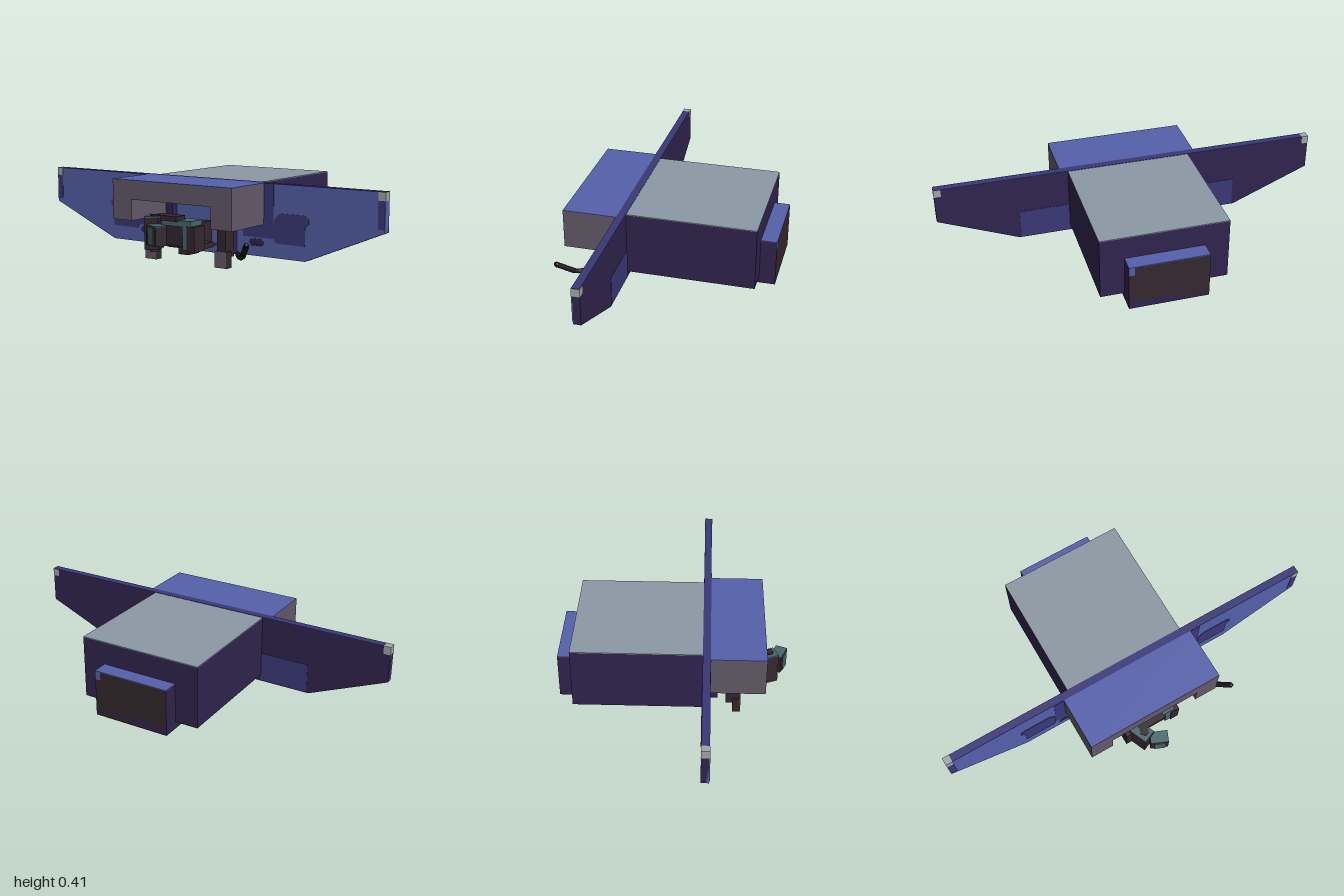
import * as THREE from 'three';

const mat = (name, color) => {
  const m = new THREE.MeshStandardMaterial({ color });
  m.name = name;
  return m;
};

export function createModel() {
  const root = new THREE.Group();
  const blue = mat('blue paint', 0x5560aa);
  const navy = mat('navy paint', 0x3a3878);
  const purple = mat('dark purple', 0x30244e);
  const grey = mat('roof grey', 0x8c98a4);
  const taupe = mat('taupe metal', 0x625a68);
  const brown = mat('dark brown iron', 0x33272d);
  const teal = mat('teal iron', 0x4a666e);
  const pale = mat('pale marker', 0xa0a8a6);
  const black = mat('black rubber', 0x1d171d);

  const add = (name, geo, material, parent = root) => {
    const m = new THREE.Mesh(geo, material);
    m.name = name;
    parent.add(m);
    return m;
  };
  // Box given by its minimum and maximum on each axis
  const box = (name, material, x0, x1, y0, y1, z0, z1, parent = root) => {
    const m = add(name, new THREE.BoxGeometry(x1 - x0, y1 - y0, z1 - z0), material, parent);
    m.position.set((x0 + x1) / 2, (y0 + y1) / 2, (z0 + z1) / 2);
    return m;
  };
  const shape = (pts) => new THREE.Shape(pts.map((p) => new THREE.Vector2(...p)));
  const slab = (name, material, pts, z0, z1) => {
    const geo = new THREE.ExtrudeGeometry(shape(pts), { depth: z1 - z0, bevelEnabled: false });
    const m = add(name, geo, material);
    m.position.z = z0;
    return m;
  };

  // Main body with a lighter roof
  box('body', purple, -0.32, 0.32, 0.083, 0.4, -0.495, 0.15);
  box('bodyRoof', grey, -0.32, 0.32, 0.4, 0.404, -0.495, 0.147);

  // Floor beam and rear box
  box('floorBeam', purple, -0.2, 0.2, 0.05, 0.085, -0.575, 0.225);
  box('floorUnderside', black, -0.2, 0.2, 0.047, 0.05, -0.575, 0.225);
  box('floorBeamFront', blue, -0.16, 0.16, 0.05, 0.085, 0.225, 0.227);
  box('rearBox', purple, -0.2, 0.2, 0.05, 0.282, -0.573, -0.49);
  box('rearBoxTop', blue, -0.2, 0.2, 0.282, 0.286, -0.575, -0.495);
  box('rearBoxPanel', brown, -0.2, 0.17, 0.05, 0.282, -0.575, -0.573);
  box('rearBoxPanelEdge', brown, 0.17, 0.2, 0.05, 0.24, -0.575, -0.573);
  box('rearBoxMark', blue, 0.17, 0.2, 0.24, 0.282, -0.575, -0.573);

  // Wide tapering end plate
  const outline = [[-1, 0.22], [-0.59, 0.048], [0.59, 0.048], [1, 0.22], [1, 0.403], [-1, 0.403]];
  slab('endPlate', purple, outline, 0.147, 0.182);
  slab('endPlateFace', blue, outline, 0.182, 0.185);
  box('endPlateTop', navy, -0.965, 1, 0.403, 0.406, 0.147, 0.185);

  for (const s of [-1, 1]) {
    const pair = (name, material, xa, xb, ...rest) =>
      box(name, material, Math.min(s * xa, s * xb), Math.max(s * xa, s * xb), ...rest);
    // Plate ends and corner markers
    pair('plateEnd', blue, 0.999, 1.0, 0.221, 0.365, 0.148, 0.185);
    pair('plateEndStripe', navy, 0.965, 1, 0.235, 0.365, 0.185, 0.187);
    pair('cornerMarker', pale, 0.965, 1.001, 0.365, s < 0 ? 0.406 : 0.404, 0.146, 0.187);
    // Painted details on the front
    pair('plateStripe', navy, 0.36, 0.415, 0.205, 0.404, 0.185, 0.187);
    pair('plateStripeLower', navy, 0.24, 0.48, 0.14, 0.205, 0.185, 0.186);
    const hatch = shape([[0.43, 0.12], [0.59, 0.12], [0.59, 0.215], [0.61, 0.225], [0.61, 0.25],
      [0.59, 0.266], [0.45, 0.266], [0.42, 0.235], [0.42, 0.135]].map(([x, y]) => [s * x, y]));
    add('platePanel', new THREE.ExtrudeGeometry(hatch, { depth: 0.003, bevelEnabled: false }), navy)
      .position.z = 0.185;
    const slot = add('plateSlot', new THREE.CapsuleGeometry(0.017, 0.05 + (s < 0 ? 0.03 : 0), 4, 10), purple);
    slot.rotation.z = Math.PI / 2;
    slot.scale.z = 0.15;
    slot.position.set(s < 0 ? -0.345 : 0.32, 0.115, 0.187);
    // Painted panel on the back
    pair('rearPlatePanel', navy, 0.32, 0.58, 0.052, 0.205, 0.145, 0.147);
    // Posts and feet beside the coupler
    pair('post', purple, 0.167, 0.203, 0.05, 0.29, 0.185, 0.225);
    pair('footHanger', brown, 0.19, 0.24, 0.05, 0.205, 0.265, 0.335);
    pair('foot', brown, 0.18, 0.25, 0, 0.08, 0.3, 0.336);
    pair('footFace', taupe, 0.18, 0.25, 0, 0.08, 0.336, 0.34);
  }

  // Hood over the coupler, open below
  slab('hood', taupe, [[-0.36, 0.205], [-0.24, 0.205], [-0.24, 0.31], [0.24, 0.31], [0.24, 0.205],
    [0.36, 0.205], [0.36, 0.402], [-0.36, 0.402]], 0.185, 0.455);
  box('hoodTop', blue, -0.36, 0.36, 0.402, 0.406, 0.185, 0.455);

  // Coupler: shank, carrier, jaws and pivot
  const coupler = new THREE.Group();
  coupler.name = 'coupler';
  root.add(coupler);
  box('shank', brown, -0.06, 0.06, 0.1, 0.2, 0.2, 0.42, coupler);
  box('carrier', brown, -0.13, 0.12, 0.083, 0.11, 0.265, 0.37, coupler);
  box('carrierDrop', brown, -0.03, 0.03, 0.045, 0.085, 0.265, 0.35, coupler);
  box('headBack', teal, -0.11, 0.11, 0.115, 0.205, 0.34, 0.385, coupler);
  box('headTopStrap', brown, -0.09, 0.05, 0.225, 0.25, 0.4, 0.47, coupler);
  box('headTop', teal, -0.1, 0.12, 0.2, 0.23, 0.36, 0.45, coupler);
  box('rightCheek', brown, 0.1, 0.145, 0.083, 0.205, 0.37, 0.455, coupler);
  box('rightGuard', teal, 0.07, 0.1, 0.09, 0.22, 0.37, 0.45, coupler);
  box('leftCheek', brown, -0.16, -0.11, 0.083, 0.22, 0.34, 0.455, coupler);
  const turned = (name, material, w, h, d, x, y, z, angle) => {
    const m = add(name, new THREE.BoxGeometry(w, h, d), material, coupler);
    m.position.set(x, y, z);
    m.rotation.y = angle;
  };
  turned('jaw', brown, 0.07, 0.155, 0.1, -0.085, 0.163, 0.47, 0.4);
  turned('jawTop', teal, 0.07, 0.006, 0.1, -0.085, 0.243, 0.47, 0.4);
  turned('knuckle', brown, 0.09, 0.092, 0.06, -0.02, 0.162, 0.533, -0.4);
  turned('knuckleTop', teal, 0.09, 0.005, 0.06, -0.02, 0.21, 0.533, -0.4);
  turned('knuckleFace', teal, 0.055, 0.085, 0.004, -0.032, 0.162, 0.564, -0.4);
  const pin = add('pivotPin', new THREE.CylinderGeometry(0.022, 0.022, 0.18, 8), brown, coupler);
  pin.position.set(-0.075, 0.162, 0.48);

  // Bent air hose
  const path = new THREE.CurvePath();
  const pts = [[0.24, 0.055, 0.23], [0.32, 0.062, 0.33], [0.38, 0.08, 0.395], [0.45, 0.15, 0.468]]
    .map((p) => new THREE.Vector3(...p));
  for (let i = 0; i < 3; i++) path.add(new THREE.LineCurve3(pts[i], pts[i + 1]));
  add('airHose', new THREE.TubeGeometry(path, 12, 0.014, 6), black);
  const cap = add('hoseEnd', new THREE.IcosahedronGeometry(0.015, 0), black);
  cap.position.copy(pts[3]);

  return root;
}
